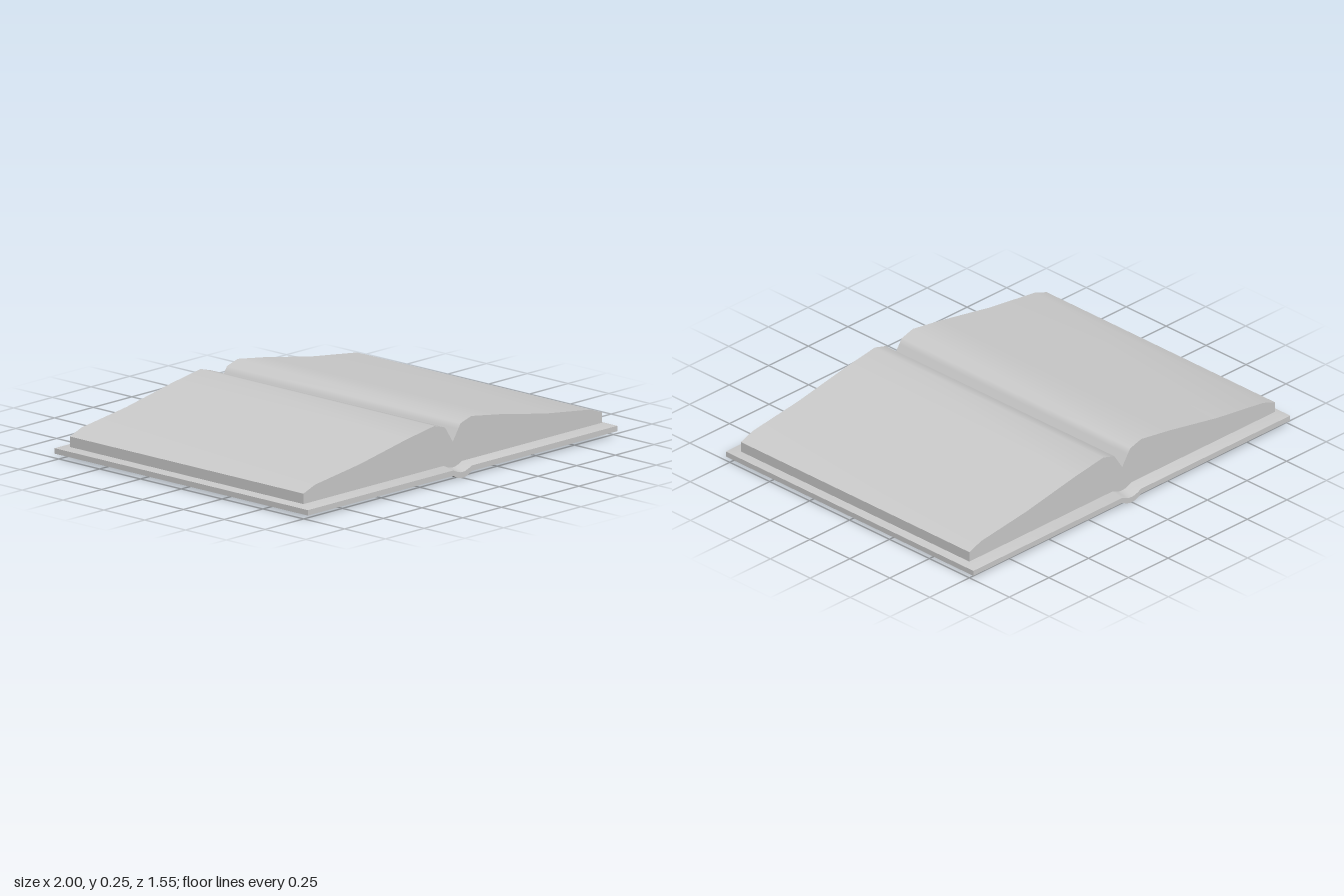
import * as THREE from 'three';
import { toCreasedNormals } from 'three/addons/utils/BufferGeometryUtils.js';

const mirror = (list) => [...list.map((v) => -v).reverse().filter((v) => v !== 0), ...list];

// Piecewise-linear height from [x, y] points, symmetric about x = 0
function heightAt(points, x) {
  const ax = Math.abs(x);
  for (let i = 1; i < points.length; i++) {
    const [x0, y0] = points[i - 1];
    const [x1, y1] = points[i];
    if (ax <= x1 + 1e-6) return y0 + ((y1 - y0) * (ax - x0)) / (x1 - x0);
  }
  return points[points.length - 1][1];
}

// Box whose columns sit at xs, rows at zs, with heights from two rules
function slab(name, xs, zs, bottom, top, material) {
  const nx = xs.length - 1;
  const nz = zs.length - 1;
  const geometry = new THREE.BoxGeometry(nx, 1, nz, nx, 1, nz);
  const p = geometry.attributes.position;
  for (let i = 0; i < p.count; i++) {
    const x = xs[Math.round(p.getX(i) + nx / 2)];
    const z = zs[Math.round(p.getZ(i) + nz / 2)];
    p.setXYZ(i, x, p.getY(i) > 0 ? top(x, z) : bottom(x, z), z);
  }
  geometry.computeVertexNormals();
  const mesh = new THREE.Mesh(toCreasedNormals(geometry, 0.85), material);
  mesh.name = name;
  return mesh;
}

export function createModel() {
  const group = new THREE.Group();
  group.name = 'openBook';
  const material = new THREE.MeshStandardMaterial({ color: 0xcccccc });

  const pageX = 0.965;
  const pageZ = 0.715;
  const spineX = [0, 0.015, 0.035, 0.06];
  const coverBottom = [[0, 0], [0.015, 0.001], [0.035, 0.007], [0.06, 0.02], [1, 0.02]];
  const coverTop = [[0, 0.037], [0.015, 0.038], [0.035, 0.044], [0.06, 0.055], [1, 0.055]];
  const leafTop = [[0, 0.155], [0.05, 0.23], [0.12, 0.25], [0.3, 0.223],
    [0.6, 0.168], [0.89, 0.13], [pageX, 0.103]];

  // Cover: boards joined by a sunken spine, top chamfered towards the rim
  const isRim = (x, z) => Math.abs(x) > pageX + 0.01 || Math.abs(z) > pageZ + 0.01;
  group.add(slab('cover', mirror([...spineX, pageX, 1]), mirror([pageZ, 0.775]),
    (x) => heightAt(coverBottom, x),
    (x, z) => heightAt(coverTop, x) - (isRim(x, z) ? 0.01 : 0), material));

  // Pages: two swelling halves meeting in a deep gutter
  const leafX = [...new Set([...spineX, ...leafTop.map((q) => q[0])])].sort((a, b) => a - b);
  group.add(slab('pages', mirror(leafX), [-pageZ, pageZ],
    (x) => heightAt(coverTop, x) - 0.001,
    (x) => heightAt(leafTop, x), material));

  return group;
}
